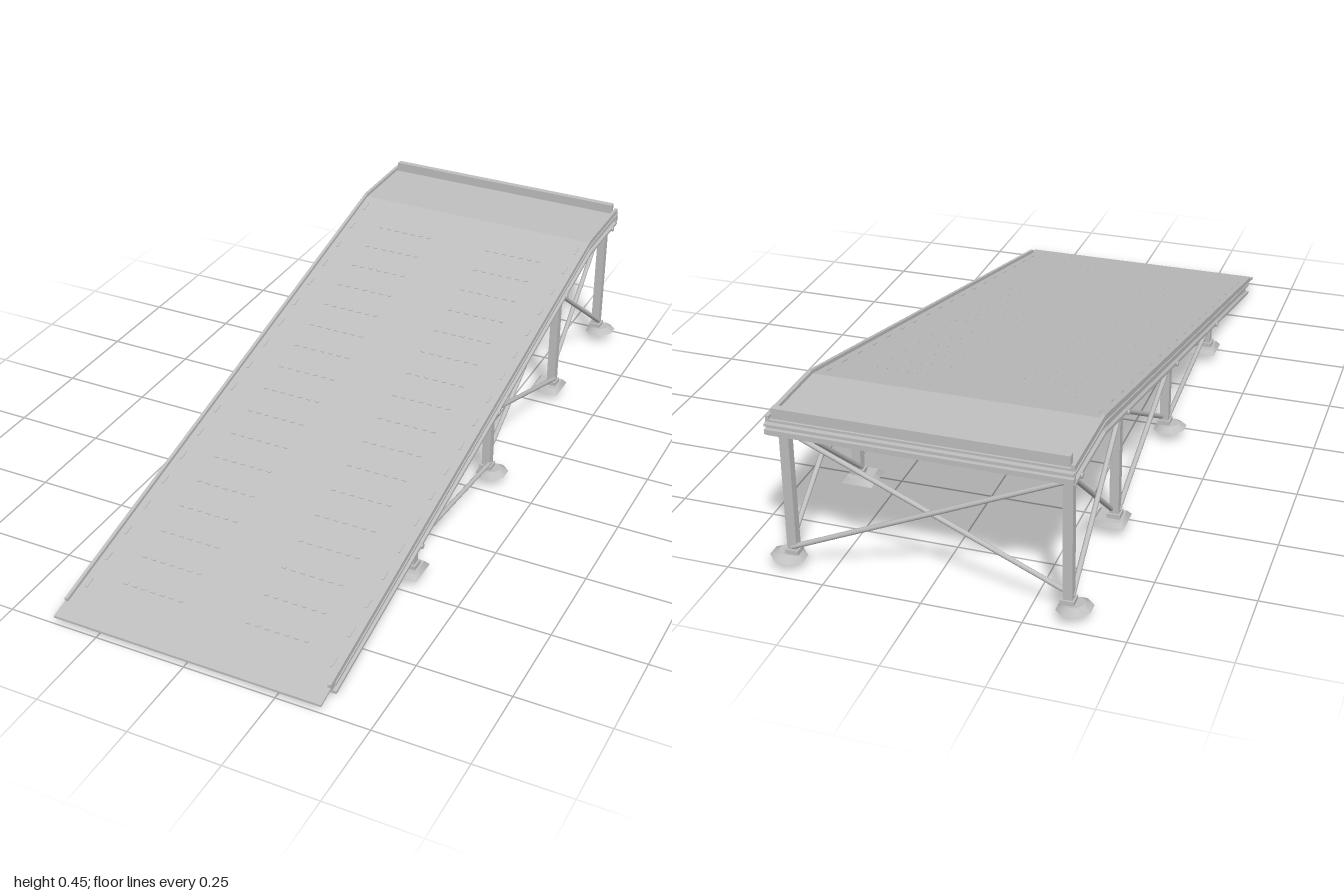
import * as THREE from 'three';

const FOOT_Y = 0.025, TOP_Y = 0.425, KNEE_Z = -0.75;
const SLOPE = (TOP_Y - FOOT_Y) / (1 - KNEE_Z);
const TILT = Math.atan(SLOPE);
const deckY = z => (z < KNEE_Z ? TOP_Y : FOOT_Y + (1 - z) * SLOPE);

export function createModel() {
  const model = new THREE.Group();
  model.name = 'loadingRamp';
  const steel = new THREE.MeshStandardMaterial({ color: 0xc0c0c0 });
  steel.name = 'steel grey';

  const add = (name, geo, x = 0, y = 0, z = 0) => {
    const m = new THREE.Mesh(geo, steel);
    m.name = name;
    m.position.set(x, y, z);
    model.add(m);
    return m;
  };
  const box = (name, w, h, d, x, y, z) => add(name, new THREE.BoxGeometry(w, h, d), x, y, z);

  // A bent strip that follows the deck line between two heights relative to it
  const strip = (name, x0, x1, low, high, zFront, zBack) => {
    const zs = [zFront, KNEE_Z, zBack];
    const pts = [
      ...zs.map(z => new THREE.Vector2(z, deckY(z) + low)),
      ...zs.reverse().map(z => new THREE.Vector2(z, deckY(z) + high)),
    ];
    const geo = new THREE.ExtrudeGeometry(new THREE.Shape(pts), { depth: x1 - x0, bevelEnabled: false });
    geo.rotateY(-Math.PI / 2);
    return add(name, geo, x1);
  };

  // Round bar between two points
  const bar = (name, a, b, r = 0.0065) => {
    const p = new THREE.Vector3(...a), q = new THREE.Vector3(...b);
    const dir = q.clone().sub(p);
    const m = add(name, new THREE.CylinderGeometry(r, r, dir.length(), 10));
    m.position.copy(p).add(q).multiplyScalar(0.5);
    m.quaternion.setFromUnitVectors(new THREE.Vector3(0, 1, 0), dir.normalize());
  };

  // Deck plate: ramp and top platform
  strip('deck', -0.372, 0.372, -0.006, 0, 1, -0.99);

  // Joists under the deck
  for (const z of [0.8, 0.47, 0.14, -0.18, -0.5, -0.82]) {
    const j = box('joist', 0.71, 0.02, 0.02, 0, deckY(z) - 0.016, z);
    j.rotation.x = z > KNEE_Z ? TILT : 0;
  }

  // Side channels, curbs and edge bolts
  for (const s of [-1, 1]) {
    const side = (name, inner, outer, low, high, z0 = 0.925) =>
      strip(name, Math.min(s * inner, s * outer), Math.max(s * inner, s * outer), low, high, z0, -0.99);
    side('channelWeb', 0.354, 0.364, -0.042, -0.008);
    side('channelTopFlange', 0.354, 0.374, -0.015, -0.008);
    side('channelBottomFlange', 0.354, 0.374, -0.042, -0.034);
    side('curb', 0.363, 0.372, 0, 0.009, 0.95);
    for (let i = 0; i < 18; i++) {
      const z = 0.88 - i * 0.093;
      box('edgeCleat', 0.006, 0.002, 0.03, s * 0.345, deckY(z) + 0.001, z).rotation.x = TILT;
    }
  }

  // Rows of grip studs in the two wheel tracks
  const studGeo = new THREE.BoxGeometry(0.012, 0.002, 0.005);
  for (const s of [-1, 1])
    for (let row = 0; row < 17; row++)
      for (let i = 0; i < 7; i++) {
        const z = 0.85 - row * 0.092;
        add('gripStud', studGeo, s * (0.096 + i * 0.0265), deckY(z) + 0.001, z).rotation.x = TILT;
      }

  // Stop bar and rear cross beam
  box('stopBar', 0.72, 0.027, 0.018, 0, 0.4385, -0.975);
  box('rearBeamWeb', 0.744, 0.034, 0.008, 0, 0.4, -0.986);
  box('rearBeamTop', 0.744, 0.006, 0.016, 0, 0.414, -0.992);
  box('rearBeamBottom', 0.744, 0.012, 0.016, 0, 0.397, -0.992);

  // Legs with foot pads, on both sides
  const legZ = [0.445, -0.055, -0.555, -0.945];
  const legX = 0.346;
  const legTop = legZ.map(z => deckY(z) - 0.03);
  for (const s of [-1, 1]) {
    legZ.forEach((z, i) => {
      const top = legTop[i];
      box('leg', 0.024, top - 0.036, 0.024, s * legX, (top + 0.036) / 2, z);
      box('legCollar', 0.034, 0.012, 0.034, s * legX, 0.048, z);
      if (i % 2) {
        const pad = new THREE.CylinderGeometry(0.026, 0.046, 0.014, 8);
        pad.rotateY(Math.PI / 8);
        add('footPad', pad, s * 0.36, 0.036, z).rotation.z = s * 0.1;
      } else {
        const pad = new THREE.CylinderGeometry(0.045, 0.06, 0.014, 4);
        pad.rotateY(Math.PI / 4);
        add('footPad', pad, s * 0.336, 0.034, z);
      }
      const bolt = new THREE.CylinderGeometry(0.007, 0.007, 0.028, 8);
      bolt.rotateZ(Math.PI / 2);
      add('legBolt', bolt, s * 0.364, top - 0.01, z);
    });

    // Crossed braces between neighbouring legs
    for (let i = 0; i < 3; i++) {
      const za = legZ[i], zb = legZ[i + 1];
      bar('sideBrace', [s * 0.354, legTop[i] - 0.008, za], [s * 0.354, 0.058, zb]);
      bar('sideBrace', [s * 0.338, 0.058, za], [s * 0.338, legTop[i + 1] - 0.008, zb]);
    }

    // Crossed braces between the rear legs
    bar('rearBrace', [-s * legX, 0.06, -0.945 + s * 0.008], [s * legX, 0.37, -0.945 + s * 0.008]);
  }

  return model;
}
